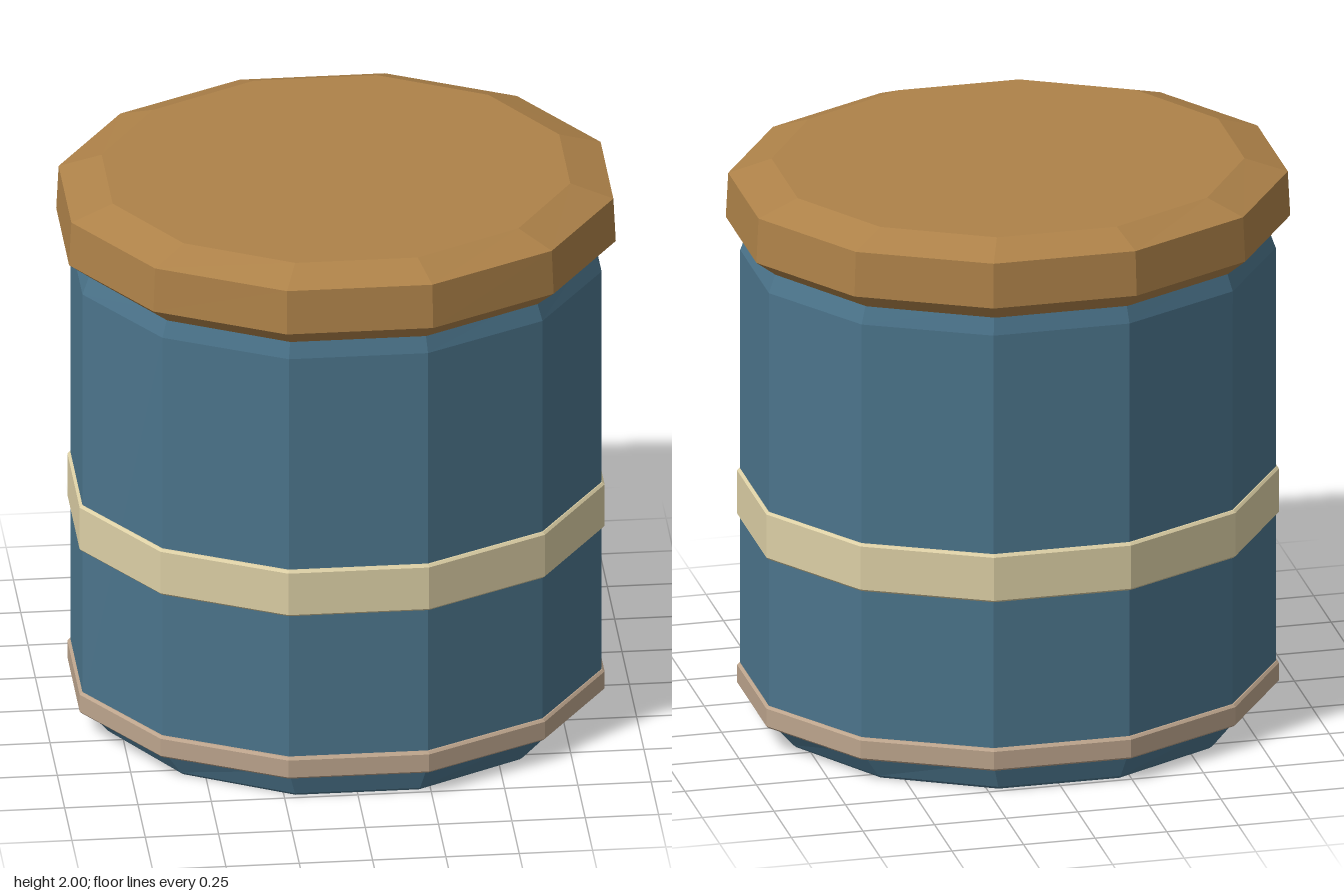
import * as THREE from 'three';

const SIDES = 12;

const paint = (name, color) => {
  const m = new THREE.MeshStandardMaterial({ color });
  m.name = name;
  return m;
};

// Faceted oval solid from rows of [y, half width, half depth], listed bottom to top
function ovalSolid(name, rows, material, capped = true) {
  const toCorner = Math.cos(Math.PI / SIDES);
  const point = ([y, w, d], i) => {
    const a = ((i + 0.5) / SIDES) * Math.PI * 2;
    return [(Math.sin(a) * w) / toCorner, y, (Math.cos(a) * d) / toCorner];
  };
  const pos = [];
  const tri = (a, b, c) => pos.push(...a, ...b, ...c);
  for (let i = 0; i < SIDES; i++) {
    for (let r = 0; r < rows.length - 1; r++) {
      const a = point(rows[r], i), b = point(rows[r], i + 1);
      const c = point(rows[r + 1], i + 1), d = point(rows[r + 1], i);
      tri(a, b, c);
      tri(a, c, d);
    }
    if (capped) {
      const low = rows[0], high = rows[rows.length - 1];
      tri([0, low[0], 0], point(low, i + 1), point(low, i));
      tri([0, high[0], 0], point(high, i), point(high, i + 1));
    }
  }
  const geometry = new THREE.BufferGeometry();
  geometry.setAttribute('position', new THREE.Float32BufferAttribute(pos, 3));
  geometry.computeVertexNormals(); // unshared corners give flat facets
  const mesh = new THREE.Mesh(geometry, material);
  mesh.name = name;
  return mesh;
}

// Raised hoop with a small bevel, sunk into the body
function hoop(name, y0, y1, material) {
  const b = 0.008;
  return ovalSolid(name, [
    [y0, 0.85, 0.745],
    [y0, 0.887, 0.774],
    [y0 + b, 0.895, 0.782],
    [y1 - b, 0.895, 0.782],
    [y1, 0.887, 0.774],
    [y1, 0.85, 0.745],
  ], material, false);
}

export function createModel() {
  const blue = paint('blue glaze', 0x4b748b);
  const wood = paint('warm wood', 0xae8249);
  const cream = paint('cream', 0xdccfa5);
  const clay = paint('pale clay', 0xbca48c);

  const model = new THREE.Group();
  model.name = 'canister';
  model.add(
    // Body with tapered foot and shoulder
    ovalSolid('body', [
      [0, 0.785, 0.728],
      [0.01, 0.797, 0.737],
      [0.11, 0.885, 0.766],
      [1.67, 0.885, 0.768],
      [1.76, 0.853, 0.745],
    ], blue),
    hoop('footBand', 0.085, 0.165, clay),
    hoop('middleBand', 0.7, 0.873, cream),
    // Overhanging lid, bevelled above and below
    ovalSolid('lid', [
      [1.735, 0.862, 0.768],
      [1.79, 0.932, 0.82],
      [1.95, 0.924, 0.812],
      [2, 0.78, 0.7],
    ], wood),
  );
  return model;
}
